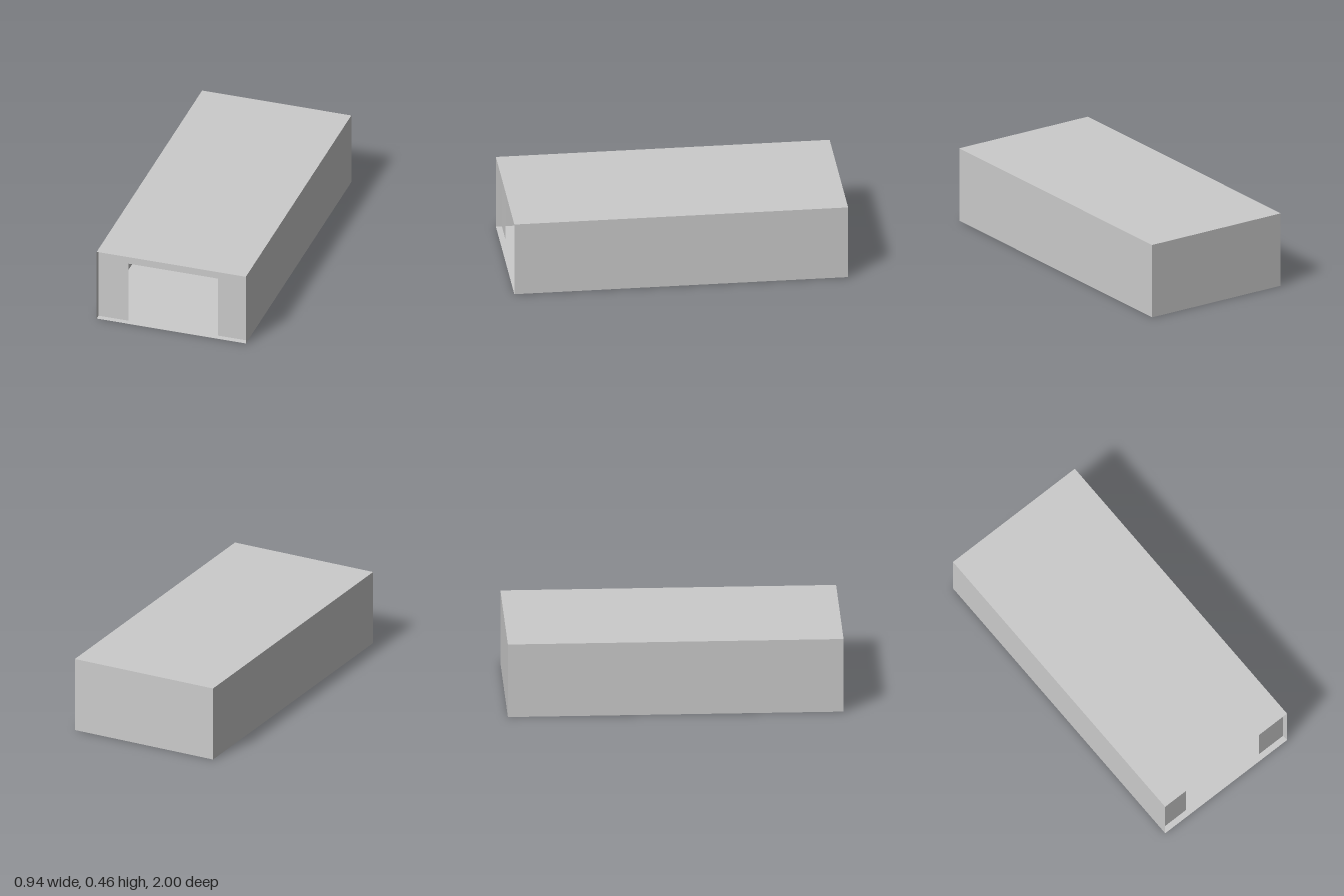
import * as THREE from 'three';

const W = 0.935, H = 0.46, L = 2;          // outer size
const DOOR_W = 0.56, DOOR_H = 0.393;       // doorway
const RECESS = 0.036;                      // front wall set back from the opening

export function createModel() {
  const group = new THREE.Group();
  group.name = 'garage';
  const material = new THREE.MeshStandardMaterial({ color: 0xcccccc, side: THREE.DoubleSide });

  const add = (name, geometry, position, rotation = [0, 0, 0]) => {
    const mesh = new THREE.Mesh(geometry, material);
    mesh.name = name;
    mesh.position.set(...position);
    mesh.rotation.set(...rotation);
    group.add(mesh);
  };

  // Thin outer shell
  const q = Math.PI / 2;
  add('roof', new THREE.PlaneGeometry(W, L), [0, H, 0], [-q, 0, 0]);
  add('floor', new THREE.PlaneGeometry(W, L), [0, 0, 0], [q, 0, 0]);
  add('backWall', new THREE.PlaneGeometry(W, H), [0, H / 2, -L / 2], [0, Math.PI, 0]);
  for (const [name, s] of [['leftWall', 1], ['rightWall', -1]]) {
    add(name, new THREE.PlaneGeometry(L, H), [s * W / 2, H / 2, 0], [0, s * q, 0]);
  }

  // Recessed front wall with a doorway reaching the floor
  const w = W / 2, d = DOOR_W / 2;
  const outline = [
    [-w, 0], [-d, 0], [-d, DOOR_H], [d, DOOR_H], [d, 0], [w, 0], [w, H], [-w, H],
  ].map(([x, y]) => new THREE.Vector2(x, y));
  add('frontWall', new THREE.ShapeGeometry(new THREE.Shape(outline)), [0, 0, L / 2 - RECESS]);

  return group;
}
